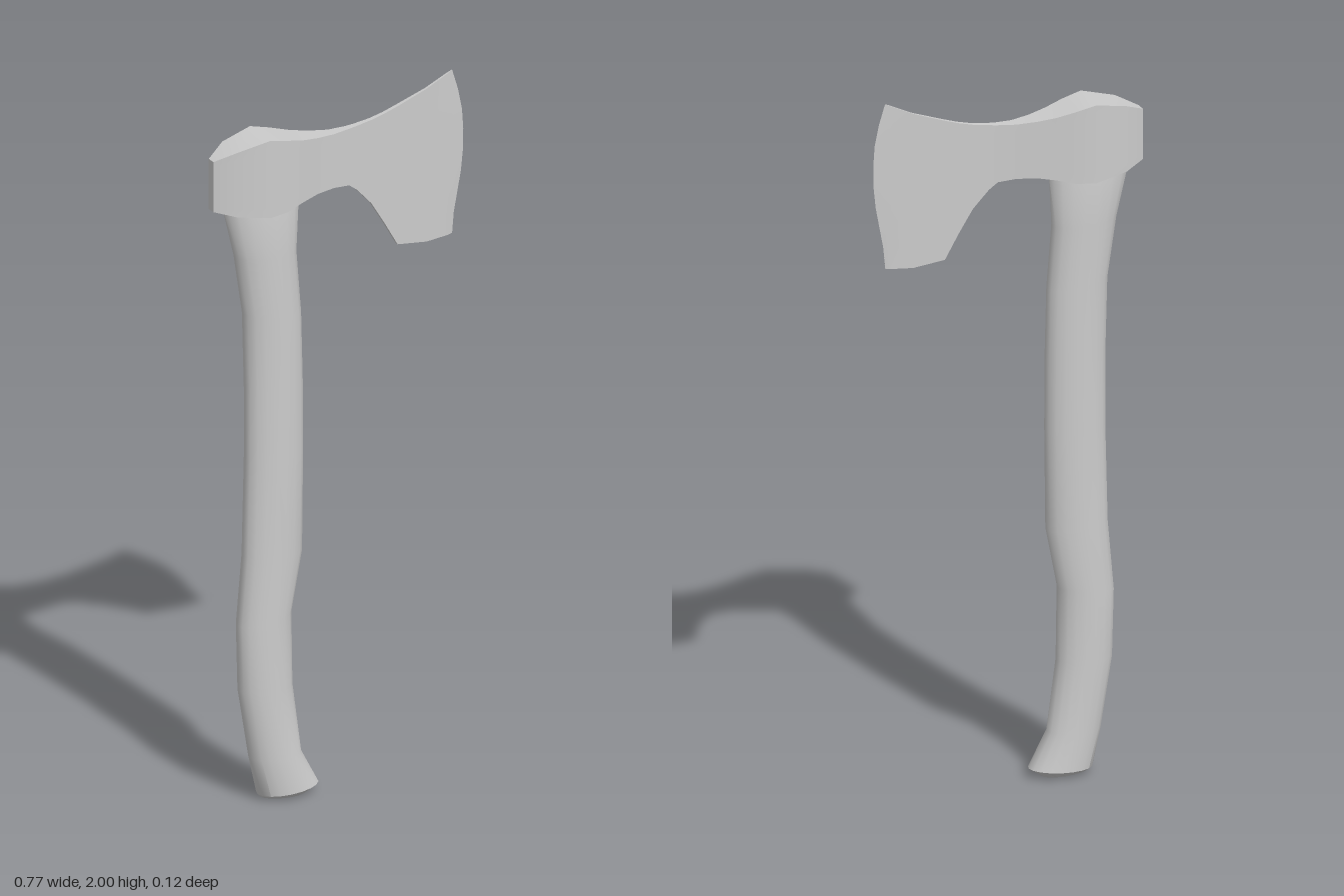
import * as THREE from 'three';
import { toCreasedNormals } from 'three/addons/utils/BufferGeometryUtils.js';

// Skin a list of closed rings and cap both ends
function loft(rings, crease) {
  const n = rings[0].length, pos = [], idx = [];
  rings.forEach(r => r.forEach(p => pos.push(...p)));
  for (let i = 0; i < rings.length - 1; i++) {
    for (let j = 0; j < n; j++) {
      const k = (j + 1) % n;
      const a = i * n + j, b = i * n + k, c = (i + 1) * n + k, d = (i + 1) * n + j;
      idx.push(a, d, c, a, c, b);
    }
  }
  [0, rings.length - 1].forEach((r, end) => {
    const centre = pos.length / 3;
    pos.push(...[0, 1, 2].map(q => rings[r].reduce((s, p) => s + p[q], 0) / n));
    for (let j = 0; j < n; j++) {
      const a = r * n + j, b = r * n + (j + 1) % n;
      idx.push(centre, end ? b : a, end ? a : b);
    }
  });
  const g = new THREE.BufferGeometry();
  g.setAttribute('position', new THREE.Float32BufferAttribute(pos, 3));
  g.setIndex(idx);
  return toCreasedNormals(g, crease);
}

function makeHandle() {
  // back x, back y, front x, front y, half depth
  const sections = [
    [-0.235, 0.012, -0.1, 0.004, 0.035],
    [-0.243, 0.02, -0.063, 0.03, 0.056],
    [-0.267, 0.13, -0.116, 0.13, 0.052],
    [-0.3, 0.33, -0.142, 0.33, 0.051],
    [-0.305, 0.52, -0.145, 0.54, 0.051],
    [-0.288, 0.72, -0.112, 0.71, 0.051],
    [-0.281, 1.0, -0.109, 1.0, 0.051],
    [-0.281, 1.2, -0.11, 1.2, 0.051],
    [-0.287, 1.42, -0.115, 1.4, 0.051],
    [-0.313, 1.59, -0.129, 1.58, 0.051],
    [-0.345, 1.72, -0.121, 1.72, 0.05],
    [-0.348, 1.75, -0.125, 1.75, 0.045],
  ];
  const sides = 18;
  return loft(sections.map(([x0, y0, x1, y1, d]) =>
    Array.from({ length: sides }, (_, j) => {
      const a = j / sides * Math.PI * 2, t = (1 + Math.cos(a)) / 2;
      return [x0 + (x1 - x0) * t, y0 + (y1 - y0) * t, d * Math.sin(a)];
    })), 0.7);
}

function makeHead() {
  // x, bottom y, top y, half thickness, from poll to bit
  const sections = [
    [-0.385, 1.74, 1.885, 0.013],
    [-0.327, 1.724, 1.912, 0.044],
    [-0.235, 1.709, 1.933, 0.058],
    [-0.18, 1.713, 1.92, 0.053],
    [-0.125, 1.727, 1.906, 0.041],
    [-0.075, 1.736, 1.898, 0.029],
    [-0.02, 1.738, 1.894, 0.018],
    [0.03, 1.733, 1.897, 0.011],
    [0.055, 1.714, 1.9, 0.009],
    [0.1, 1.665, 1.907, 0.007],
    [0.14, 1.6, 1.917, 0.006],
    [0.18, 1.53, 1.93, 0.006],
    [0.27, 1.519, 1.962, 0.004],
    [0.335, 1.525, 1.993, 0.003],
    [0.349, 1.527, 2.0, 0.0006],
  ];
  // forward bulge of the cutting edge, bottom to top
  const bulge = [0, 0.005, 0.016, 0.027, 0.033, 0.034, 0.03, 0.018, 0];
  return loft(sections.map(([x, y0, y1, d], i) => {
    const f = i === sections.length - 1 ? 1 : i === sections.length - 2 ? 0.7 : 0;
    const front = bulge.map((b, r) => [x + b * f, y0 + (y1 - y0) * r / (bulge.length - 1), d]);
    const back = front.map(([px, py, pz]) => [px, py, -pz]).reverse();
    return [...front, ...back];
  }), 0.5);
}

export function createModel() {
  const group = new THREE.Group();
  group.name = 'axe';
  const material = new THREE.MeshStandardMaterial({ color: 0xcccccc });
  for (const [name, geometry] of [['handle', makeHandle()], ['axeHead', makeHead()]]) {
    const mesh = new THREE.Mesh(geometry, material);
    mesh.name = name;
    group.add(mesh);
  }
  return group;
}
